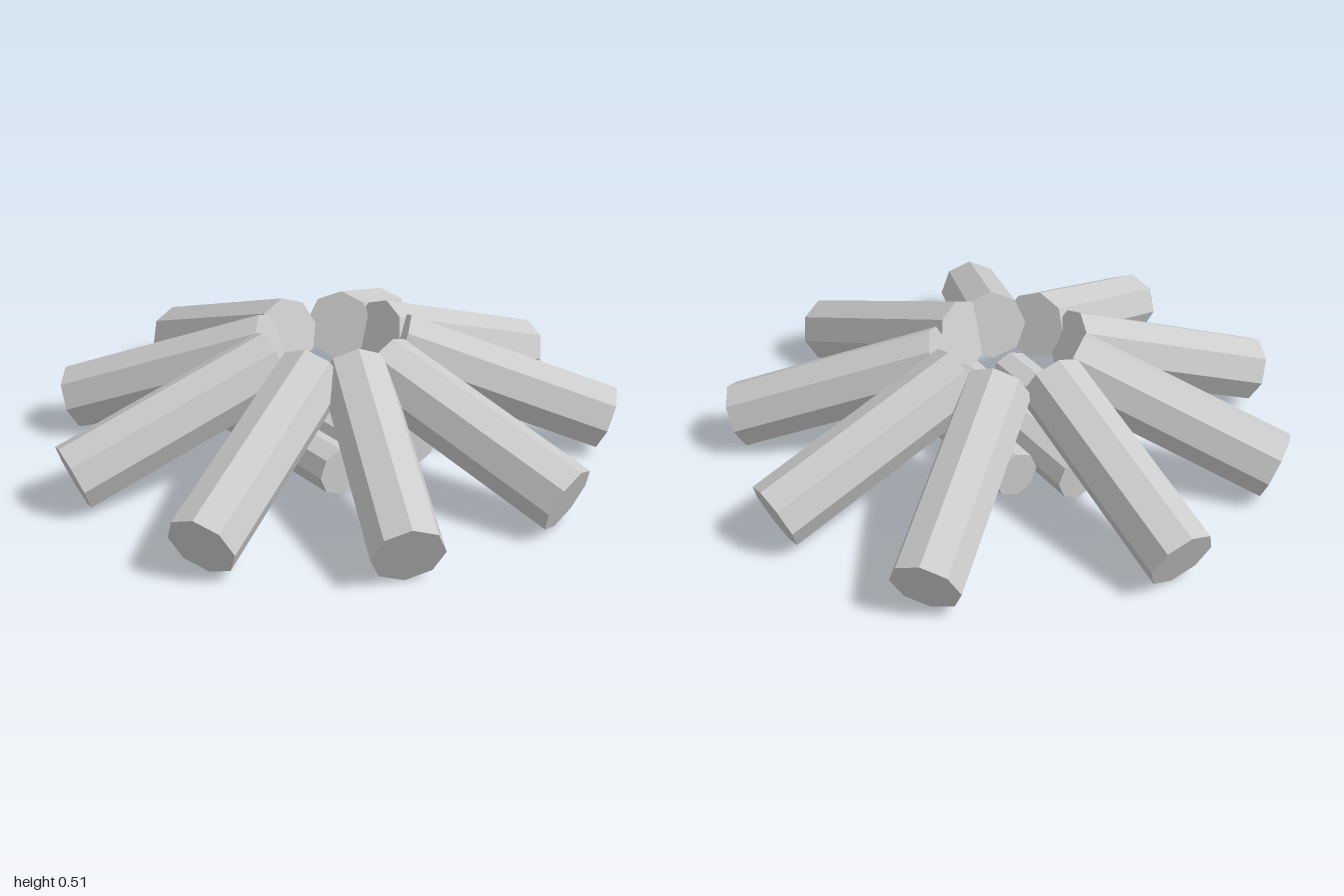
import * as THREE from 'three';

const material = new THREE.MeshStandardMaterial({ color: 0xcccccc, flatShading: true });

// Eight-sided log along z, with an edge at the top and its +z end at the origin
function makeLog(name, radius, length) {
  const geometry = new THREE.CylinderGeometry(radius, radius, length, 8);
  geometry.rotateX(Math.PI / 2).translate(0, 0, -length / 2);
  const log = new THREE.Mesh(geometry, material);
  log.name = name;
  return log;
}

export function createModel() {
  const model = new THREE.Group();
  model.name = 'campfireLogs';

  // Ring of leaning logs: x and z of the outer end, heading in degrees (0 = +x, 90 = back)
  const leaning = [
    [0.957, -0.028, 1.5],
    [0.727, -0.618, 39],
    [-0.03, -0.957, 90],
    [-0.626, -0.727, 129],
    [-0.957, -0.187, 168],
    [-0.869, 0.452, 205],
    [-0.396, 0.89, 244],
    [0.24, 0.945, 285.5],
    [0.783, 0.59, 321],
  ];
  const tilt = THREE.MathUtils.degToRad(20.5);
  leaning.forEach(([x, z, heading], i) => {
    const log = makeLog(`leaningLog${i + 1}`, 0.122, 0.793);
    log.rotation.order = 'YXZ';
    log.rotation.set(tilt, THREE.MathUtils.degToRad(heading + 90), 0);
    log.position.set(x, 0.117, z);
    model.add(log);
  });

  // Three thinner logs lying side by side underneath: x, back z, front z
  const lying = [
    [-0.205, -0.34, 0.31],
    [-0.03, -0.39, 0.41],
    [0.145, -0.26, 0.31],
  ];
  lying.forEach(([x, back, front], i) => {
    const log = makeLog(`lyingLog${i + 1}`, 0.085, front - back);
    log.position.set(x, 0.1, front);
    model.add(log);
  });

  return model;
}
